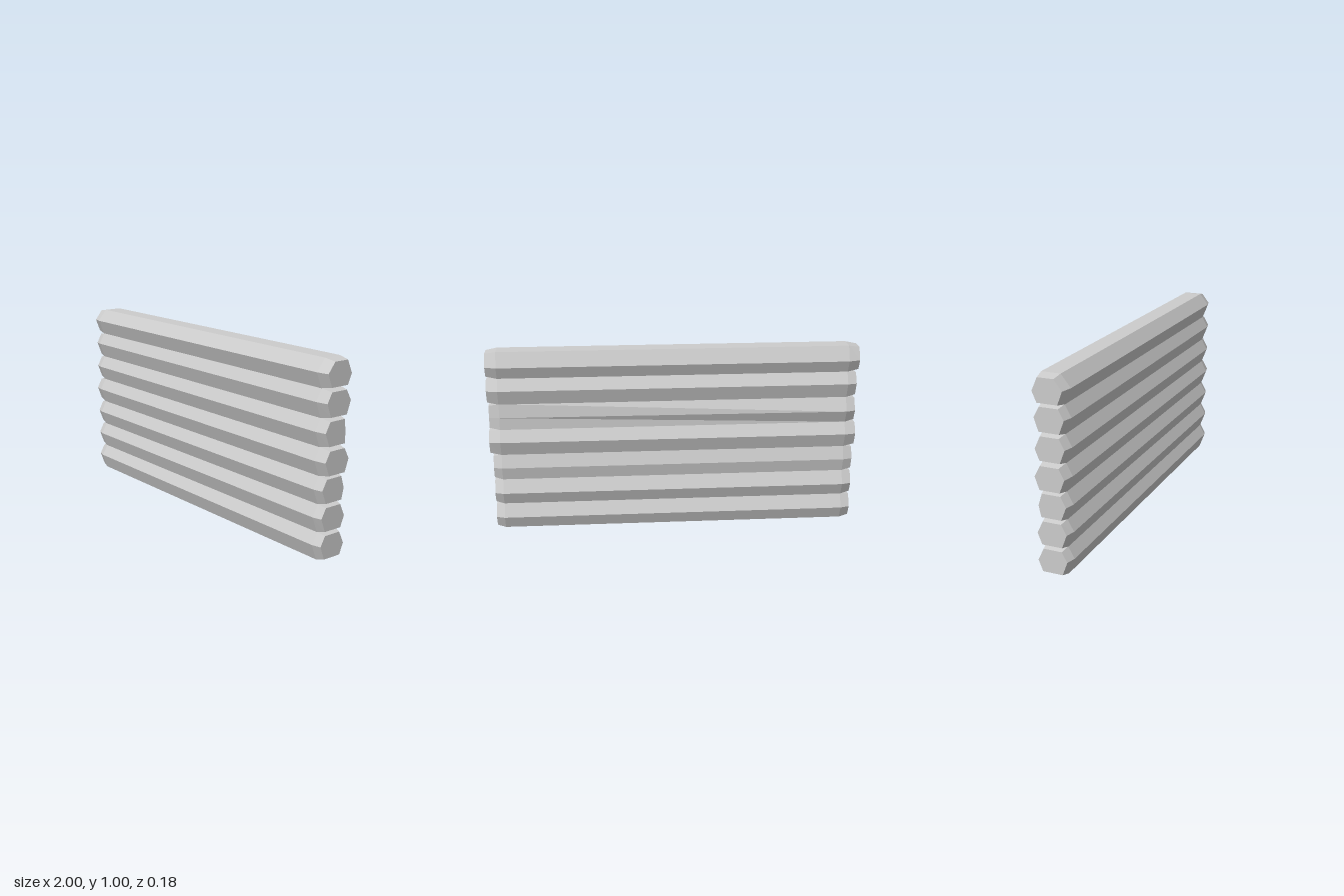
import * as THREE from 'three';

const PITCH = 1 / 7;
const BODY_X = 0.94; // where the end bevels start

// One row per log, bottom to top: end positions, ridge heights, ridge depth at the back
const LOGS = [
  { x0: -0.99, x1: 0.985, front: 0.083, back: 0.068 },
  { x0: -0.99, x1: 0.985, front: 0.225, back: 0.211 },
  { x0: -0.99, x1: 0.985, front: 0.366, back: 0.355, backZ: [-0.08, -0.08] },
  { x0: -1.0, x1: 1.0, front: 0.509, back: 0.506 },
  { x0: -0.99, x1: 0.995, front: 0.652, back: 0.638, backZ: [-0.092, -0.064] },
  { x0: -0.99, x1: 1.0, front: 0.796, back: 0.793 },
  { x0: -1.0, x1: 1.0, front: 0.937, back: 0.921, topZ: 0.042 },
];

// Six-sided cross-section, anticlockwise seen from +x
function ring(x, log, yc, backZ, scaleZ, scaleY) {
  const h = PITCH / 2;
  const profile = [
    [h, log.topZ ?? 0.058],
    [log.front - yc, 0.092],
    [-h, 0.061],
    [-h, -0.064],
    [log.back - yc, backZ],
    [h, -0.057],
  ];
  return profile.map(([y, z]) => [x, yc + y * scaleY, z * scaleZ]);
}

// Log with bevelled ends, lofted through four rings and closed by flat caps
function logGeometry(log, index) {
  const yc = (index + 0.5) * PITCH;
  const [z0, z1] = log.backZ ?? [-0.092, -0.092];
  const rings = [
    ring(log.x0, log, yc, z0, 0.84, 0.85),
    ring(-BODY_X, log, yc, z0, 1, 1),
    ring(BODY_X, log, yc, z1, 1, 1),
    ring(log.x1, log, yc, z1, 0.84, 0.85),
  ];
  const pos = [];
  const tri = (a, b, c) => pos.push(...a, ...b, ...c);
  for (let r = 0; r < 3; r++) {
    const a = rings[r], b = rings[r + 1];
    for (let i = 0; i < 6; i++) {
      const j = (i + 1) % 6;
      tri(a[i], a[j], b[j]);
      tri(a[i], b[j], b[i]);
    }
  }
  const left = rings[0], right = rings[3];
  for (let i = 1; i < 5; i++) {
    tri(right[0], right[i], right[i + 1]);
    tri(left[0], left[i + 1], left[i]);
  }
  const geo = new THREE.BufferGeometry();
  geo.setAttribute('position', new THREE.Float32BufferAttribute(pos, 3));
  geo.computeVertexNormals();
  return geo;
}

export function createModel() {
  const group = new THREE.Group();
  group.name = 'logWall';
  const grey = new THREE.MeshStandardMaterial({ color: 0xcccccc, flatShading: true });
  grey.name = 'light grey';
  LOGS.forEach((log, i) => {
    const mesh = new THREE.Mesh(logGeometry(log, i), grey);
    mesh.name = `log${i + 1}`;
    group.add(mesh);
  });
  return group;
}
